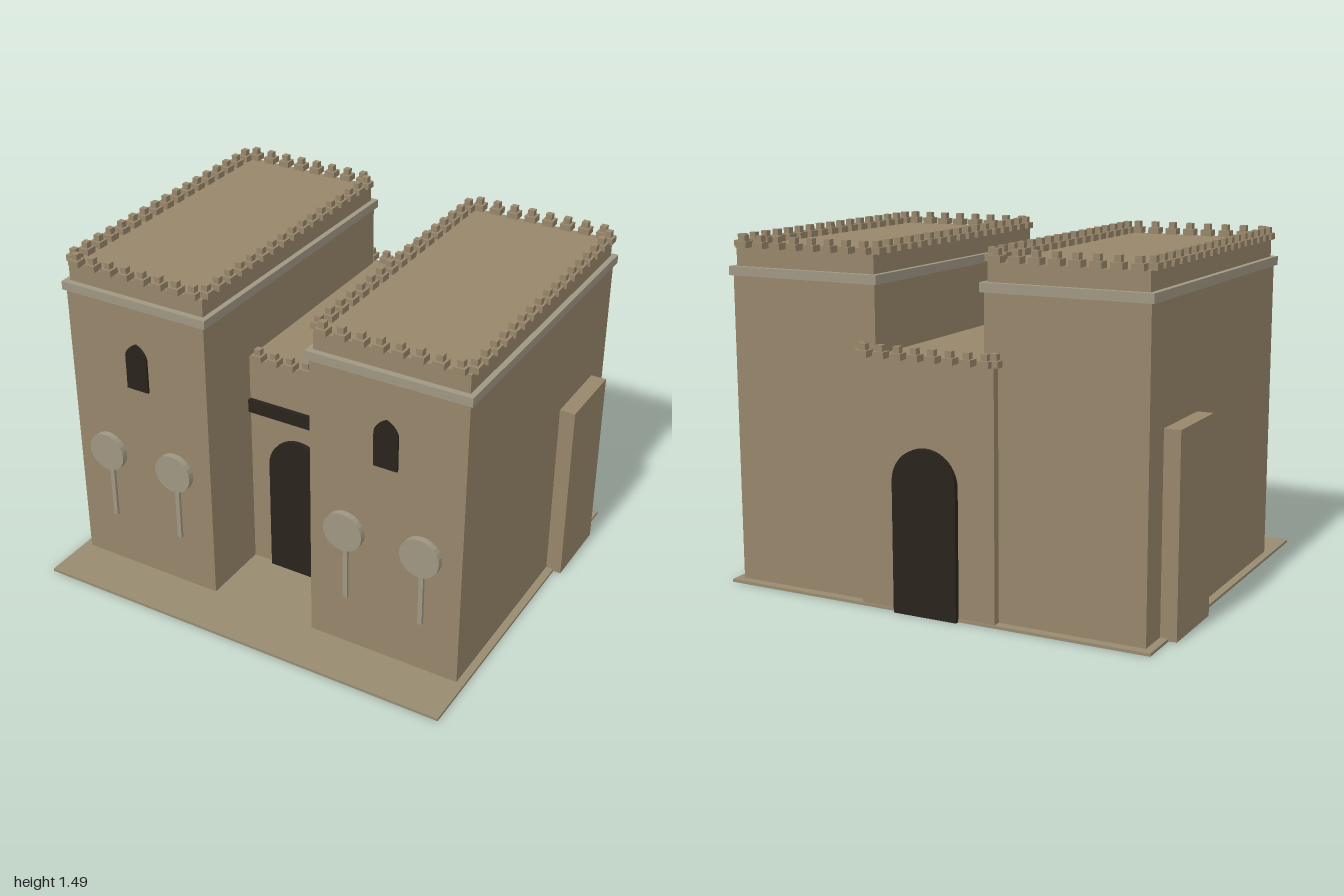
import * as THREE from 'three';

const mat = (color) => new THREE.MeshStandardMaterial({ color, flatShading: true });
const wall = mat(0x97866a), trim = mat(0x9f9782), ground = mat(0x978a70), dark = mat(0x2a231c);

export function createModel() {
  const root = new THREE.Group();

  const add = (name, geometry, material, parent = root) => {
    const mesh = new THREE.Mesh(geometry, material);
    mesh.name = name;
    parent.add(mesh);
    return mesh;
  };

  // Box given by its extents on each axis
  const block = (name, x0, x1, y0, y1, z0, z1, material = wall, parent = root) => {
    const mesh = add(name, new THREE.BoxGeometry(x1 - x0, y1 - y0, z1 - z0), material, parent);
    mesh.position.set((x0 + x1) / 2, (y0 + y1) / 2, (z0 + z1) / 2);
    return mesh;
  };

  // Two-step battlement block
  const merlon = (parent, x, y, z) => {
    block('merlonBase', x - 0.025, x + 0.025, y, y + 0.027, z - 0.025, z + 0.025, wall, parent);
    block('merlonCap', x - 0.014, x + 0.014, y + 0.027, y + 0.053, z - 0.014, z + 0.014, wall, parent);
  };

  // Evenly spaced row of merlons
  const merlonRow = (parent, n, y, [xa, za], [xb, zb]) => {
    for (let i = 0; i < n; i++) {
      const t = i / (n - 1);
      merlon(parent, xa + (xb - xa) * t, y, za + (zb - za) * t);
    }
  };

  // Round-headed door slab
  const doorShape = new THREE.Shape();
  doorShape.moveTo(-0.144, 0).lineTo(0.144, 0).lineTo(0.144, 0.546);
  doorShape.absarc(0, 0.546, 0.144, 0, Math.PI, false);
  doorShape.closePath();

  // Pointed window slab
  const windowShape = new THREE.Shape();
  windowShape.moveTo(-0.053, 0.935).lineTo(0.053, 0.935).lineTo(0.053, 1.09);
  windowShape.quadraticCurveTo(0.045, 1.13, 0, 1.15);
  windowShape.quadraticCurveTo(-0.045, 1.13, -0.053, 1.09);
  windowShape.closePath();

  const slab = (shape, depth) =>
    new THREE.ExtrudeGeometry(shape, { depth, bevelEnabled: false, curveSegments: 10 });

  block('groundSlab', -0.965, 0.965, 0, 0.012, -0.82, 0.835, ground);

  // Twin towers, each centred on its own middle line
  for (const side of [-1, 1]) {
    const tower = new THREE.Group();
    tower.name = side > 0 ? 'leftTower' : 'rightTower';
    tower.position.x = side * 0.588;
    root.add(tower);
    block('towerBody', -0.343, 0.343, 0.002, 1.32, -0.78, 0.603, wall, tower);
    block('cornice', -0.357, 0.357, 1.317, 1.355, -0.792, 0.615, trim, tower);
    block('parapet', -0.333, 0.333, 1.355, 1.432, -0.768, 0.588, wall, tower);

    const battlements = new THREE.Group();
    battlements.name = 'battlements';
    tower.add(battlements);
    for (const z of [0.585, -0.77]) merlonRow(battlements, 8, 1.432, [-0.291, z], [0.291, z]);
    for (const x of [-0.329, 0.329]) merlonRow(battlements, 17, 1.432, [x, 0.55], [x, -0.73]);

    add('window', slab(windowShape, 0.02), dark, tower).position.z = 0.593;

    // Round discs on posts
    for (const x of [-0.173, 0.173]) {
      const disc = add('disc', new THREE.CylinderGeometry(0.088, 0.088, 0.028, 24), trim, tower);
      disc.rotation.x = Math.PI / 2;
      disc.position.set(x, 0.59, 0.628);
      block('discPost', x - 0.01, x + 0.01, 0.25, 0.55, 0.6, 0.617, trim, tower);
    }

    // Side buttress
    const inner = side * 0.92, outer = side;
    block('buttress', Math.min(inner, outer), Math.max(inner, outer), 0.002, 0.832, -0.642, -0.297);
  }

  // Gatehouse between the towers, with a wider back wall
  const gate = new THREE.Group();
  gate.name = 'gatehouse';
  root.add(gate);
  block('gateBody', -0.246, 0.246, 0.002, 1.035, -0.8, 0.285, wall, gate);
  block('gateBackWall', -0.305, 0.305, 0.002, 1.035, -0.815, -0.77, wall, gate);
  block('lintel', -0.244, 0.244, 0.778, 0.838, 0.275, 0.305, dark, gate);
  add('frontDoor', slab(doorShape, 0.03), dark, gate).position.z = 0.275;
  add('backDoor', slab(doorShape, 0.03), dark, gate).position.z = -0.838;
  merlonRow(gate, 6, 1.035, [-0.197, 0.283], [0.193, 0.283]);
  merlonRow(gate, 8, 1.035, [-0.273, -0.82], [0.273, -0.82]);
  for (const x of [-0.3, 0.3]) merlon(gate, x, 1.035, -0.795);

  return root;
}
